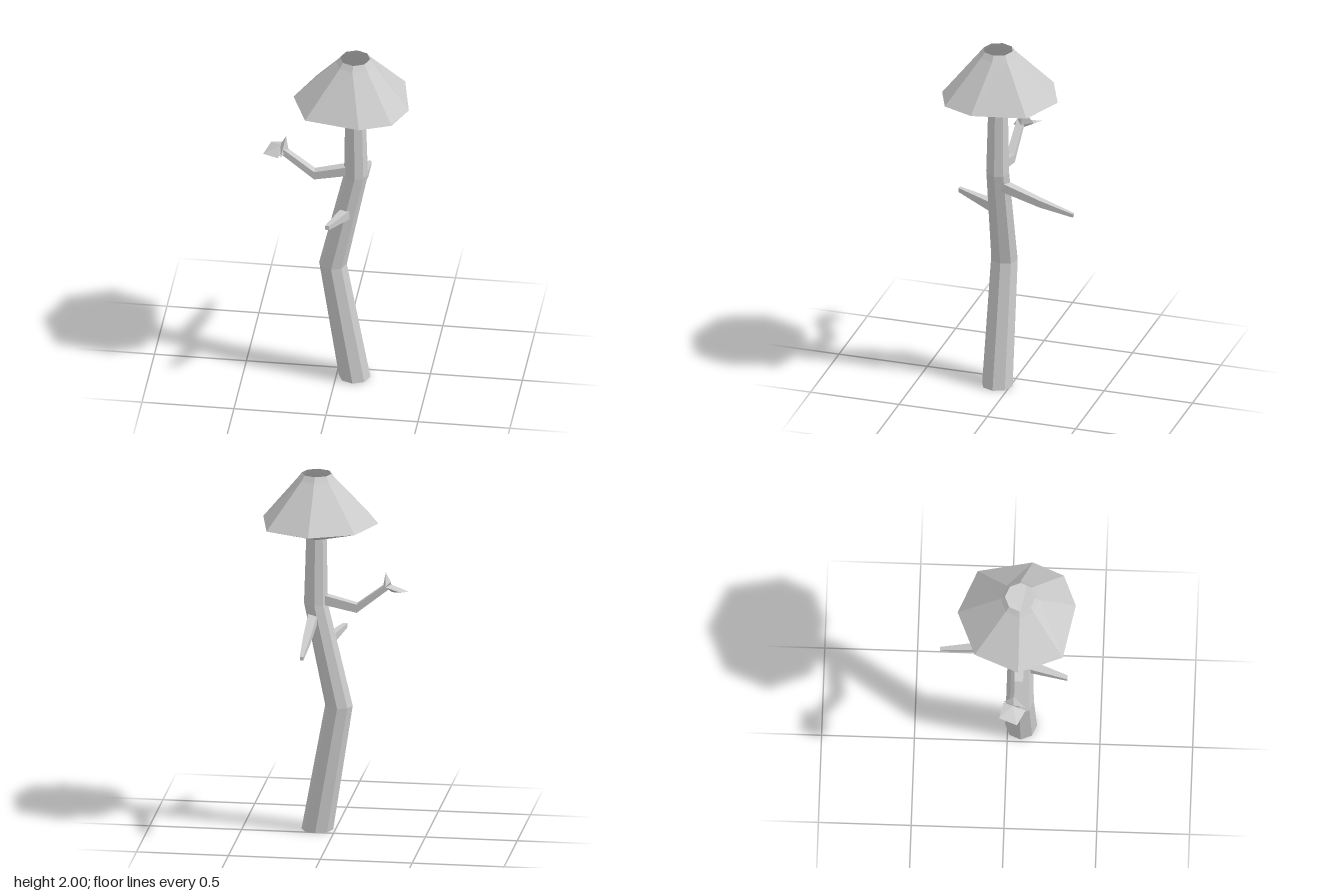
import * as THREE from 'three';
import { ConvexGeometry } from 'three/addons/geometries/ConvexGeometry.js';

const material = new THREE.MeshStandardMaterial({ color: 0xcccccc, flatShading: true, side: THREE.DoubleSide });
const V = (x, y, z) => new THREE.Vector3(x, y, z);

// Skin a list of equal-sized rings of points, optionally closing both ends
function skin(rings, capped) {
  const pos = [];
  const tri = (a, b, c) => pos.push(...a.toArray(), ...b.toArray(), ...c.toArray());
  const n = rings[0].length;
  for (let r = 0; r < rings.length - 1; r++) {
    for (let i = 0; i < n; i++) {
      const j = (i + 1) % n;
      tri(rings[r][i], rings[r][j], rings[r + 1][j]);
      tri(rings[r][i], rings[r + 1][j], rings[r + 1][i]);
    }
  }
  if (capped) {
    const first = rings[0], last = rings[rings.length - 1];
    for (let i = 1; i < n - 1; i++) {
      tri(first[0], first[i + 1], first[i]);
      tri(last[0], last[i], last[i + 1]);
    }
  }
  const geo = new THREE.BufferGeometry();
  geo.setAttribute('position', new THREE.Float32BufferAttribute(pos, 3));
  geo.computeVertexNormals();
  return geo;
}

// Regular ring facing along dir
function ring(center, radius, dir, sides, phase = 0) {
  const q = new THREE.Quaternion().setFromUnitVectors(V(0, 0, 1), dir);
  return Array.from({ length: sides }, (_, i) => {
    const a = phase + (i / sides) * Math.PI * 2;
    return V(Math.cos(a) * radius, Math.sin(a) * radius, 0).applyQuaternion(q).add(center);
  });
}

// Tapered square branch; stations are [x, y, z, halfWidth]
function branch(stations, dir) {
  return skin(stations.map(([x, y, z, h]) => ring(V(x, y, z), h * Math.SQRT2, dir, 4, Math.PI / 4)), true);
}

export function createModel() {
  const group = new THREE.Group();
  const add = (name, geo) => {
    const mesh = new THREE.Mesh(geo, material);
    mesh.name = name;
    group.add(mesh);
  };

  // Bent eight-sided trunk: [x, y, z, radius]
  const trunk = [[0.098, 0, 0.072, 0.086], [-0.02, 0.7, 0.07, 0.075], [0.105, 1.27, 0.068, 0.065], [0.102, 1.64, 0.067, 0.056]];
  add('trunk', skin(trunk.map(([x, y, z, r]) => ring(V(x, y, z), r, V(0, 1, 0), 8)), true));

  // Hollow canopy with an uneven rim, open at the top
  const level = (y, r) => Array.from({ length: 8 }, (_, i) => {
    const a = (i * Math.PI) / 4;
    return V(0.1 + Math.sin(a) * r, y, 0.067 + Math.cos(a) * r);
  });
  const rim = [[0.16, 0.365], [0.33, 0.295], [0.4, 0.125], [0.34, -0.17], [0.1, -0.27], [-0.14, -0.17], [-0.235, 0.067], [-0.14, 0.305]]
    .map(([x, z]) => V(x, 1.73, z));
  add('canopy', skin([level(1.64, 0.057), rim, level(1.97, 0.105), level(2, 0.082)], false));

  // Branches
  add('elbowBranch', branch([[0.08, 1.3, 0.067, 0.027], [-0.12, 1.253, 0.067, 0.023], [-0.29, 1.385, 0.067, 0.02]], V(-1, 0, 0)));
  add('frontBranch', branch([[0.06, 1.04, 0.1, 0.029], [-0.018, 1.075, 0.325, 0.012]], V(0, 0, 1)));
  add('backBranch', branch([[0.115, 1.2, 0.04, 0.026], [0.12, 1.13, -0.18, 0.02], [0.121, 1.083, -0.365, 0.01]], V(0, 0, -1)));

  // Faceted leaves on the end of the elbow branch
  add('flatLeaf', new ConvexGeometry([V(-0.37, 1.375, -0.03), V(-0.4, 1.355, 0.067), V(-0.315, 1.36, 0.11),
    V(-0.305, 1.4, 0.04), V(-0.31, 1.35, 0.06), V(-0.285, 1.395, -0.01)]));
  add('uprightLeaf', new ConvexGeometry([V(-0.278, 1.465, 0.045), V(-0.307, 1.41, 0.045), V(-0.283, 1.4, -0.01),
    V(-0.263, 1.385, 0.057), V(-0.3, 1.365, 0.11)]));

  return group;
}
